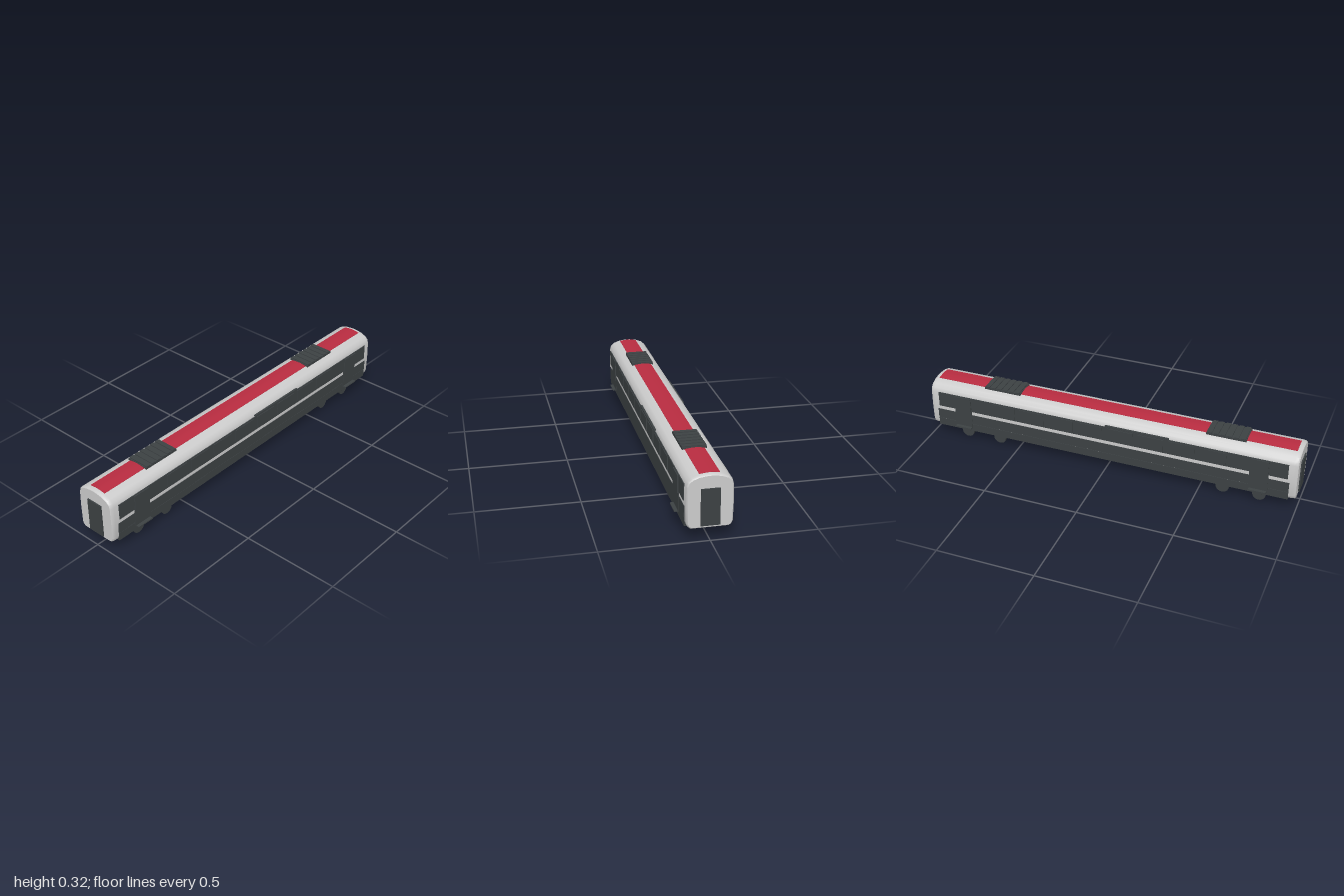
import * as THREE from 'three';
import { toCreasedNormals } from 'three/addons/utils/BufferGeometryUtils.js';

export function createModel() {
  const model = new THREE.Group();
  const grey = new THREE.MeshStandardMaterial({ color: 0xcccccc });
  const dark = new THREE.MeshStandardMaterial({ color: 0x3c4143 });
  const red = new THREE.MeshStandardMaterial({ color: 0xb82c40 });

  const add = (parent, name, geometry, material) => {
    const mesh = new THREE.Mesh(geometry, material);
    mesh.name = name;
    parent.add(mesh);
    return mesh;
  };
  // Box given by its limits on each axis
  const box = (parent, name, x0, x1, y0, y1, z0, z1, material = dark) =>
    add(parent, name, new THREE.BoxGeometry(x1 - x0, y1 - y0, z1 - z0), material)
      .position.set((x0 + x1) / 2, (y0 + y1) / 2, (z0 + z1) / 2);
  // Extrudes a mirrored half outline along x, centred
  const loft = (half, length, bevel) => {
    const mirrored = half.map(([z, y]) => [-z, y]).reverse();
    const shape = new THREE.Shape([...half, ...mirrored].map(p => new THREE.Vector2(...p)));
    const depth = length - (bevel ? 0.04 : 0);
    const geometry = new THREE.ExtrudeGeometry(shape, {
      depth, bevelEnabled: bevel, bevelThickness: 0.02, bevelSize: 0.007,
      bevelOffset: -0.007, bevelSegments: 2,
    });
    geometry.translate(0, 0, -depth / 2).rotateY(Math.PI / 2);
    return toCreasedNormals(geometry, 0.6);
  };

  // Car body and coloured roof band
  add(model, 'body', loft([
    [0.087, 0.058], [0.1, 0.068], [0.106, 0.084], [0.1085, 0.17], [0.1065, 0.262],
    [0.1, 0.282], [0.083, 0.298], [0.05, 0.3105], [0.012, 0.3155],
  ], 1.986, true), grey);
  add(model, 'roofBand', loft([
    [0.047, 0.306], [0.047, 0.3122], [0.012, 0.3168],
  ], 1.94, false), red);

  // Gangway door on each end
  for (const s of [-1, 1]) {
    box(model, 'gangwayDoor', s > 0 ? 0.985 : -1, s > 0 ? 1 : -0.985, 0.073, 0.25, -0.044, 0.044);
  }

  // Ribbed roof units
  for (const x of [-0.617, 0.593]) {
    const unit = new THREE.Group();
    unit.name = 'roofUnit';
    unit.position.x = x;
    model.add(unit);
    box(unit, 'unitBase', -0.102, 0.102, 0.3, 0.3185, -0.058, 0.058);
    for (let i = 0; i < 6; i++) {
      const rx = -0.085 + i * 0.034;
      box(unit, 'unitRib', rx - 0.011, rx + 0.011, 0.318, 0.323, -0.058, 0.058);
    }
  }

  // One side, then the same side turned half a turn
  for (const turn of [0, Math.PI]) {
    const side = new THREE.Group();
    side.name = turn ? 'backSide' : 'frontSide';
    side.rotation.y = turn;
    model.add(side);
    box(side, 'windowBand', -0.947, 0.947, 0.18, 0.262, 0.1, 0.111);
    box(side, 'lowerPanel', -0.957, 0.957, 0.105, 0.159, 0.1, 0.1105);
    box(side, 'sill', -0.957, 0.957, 0.06, 0.102, 0.085, 0.109);
    box(side, 'destinationBoard', 0, 0.34, 0.265, 0.271, 0.102, 0.114);
    for (let i = 0; i < 8; i++) {
      const x = (i - 3.5) * 0.163;
      box(side, 'window', x - 0.067, x + 0.067, 0.187, 0.256, 0.108, 0.1145);
    }
    for (const x of [-0.805, 0.805]) {
      box(side, 'door', x - 0.048, x + 0.048, 0.085, 0.255, 0.1, 0.1125);
      box(side, 'doorUpperPanel', x - 0.046, x + 0.046, 0.171, 0.258, 0.11, 0.116);
      box(side, 'doorStep', x - 0.045, x + 0.045, 0.078, 0.084, 0.1, 0.129);
    }
  }

  // Underframe with equipment boxes
  box(model, 'underframe', -0.86, 0.86, 0.044, 0.062, -0.08, 0.08);
  box(model, 'underframeTray', -0.855, 0.855, 0.034, 0.046, -0.067, 0.067);
  for (const x of [-0.47, -0.16, 0.16, 0.47]) {
    box(model, 'equipmentBox', x - 0.09, x + 0.09, 0.03, 0.036, -0.055, 0.055);
  }

  // Axles and wheels
  const wheel = new THREE.CylinderGeometry(0.034, 0.034, 0.015, 24).rotateX(Math.PI / 2);
  const axle = new THREE.CylinderGeometry(0.009, 0.009, 0.14, 12).rotateX(Math.PI / 2);
  const hub = new THREE.CylinderGeometry(0.013, 0.013, 0.004, 16).rotateX(Math.PI / 2);
  for (const x of [-0.808, -0.619, 0.614, 0.803]) {
    add(model, 'axle', axle, dark).position.set(x, 0.034, 0);
    for (const s of [-1, 1]) {
      add(model, 'wheel', wheel, dark).position.set(x, 0.034, s * 0.0735);
      add(model, 'wheelHub', hub, dark).position.set(x, 0.034, s * 0.082);
    }
  }
  return model;
}
